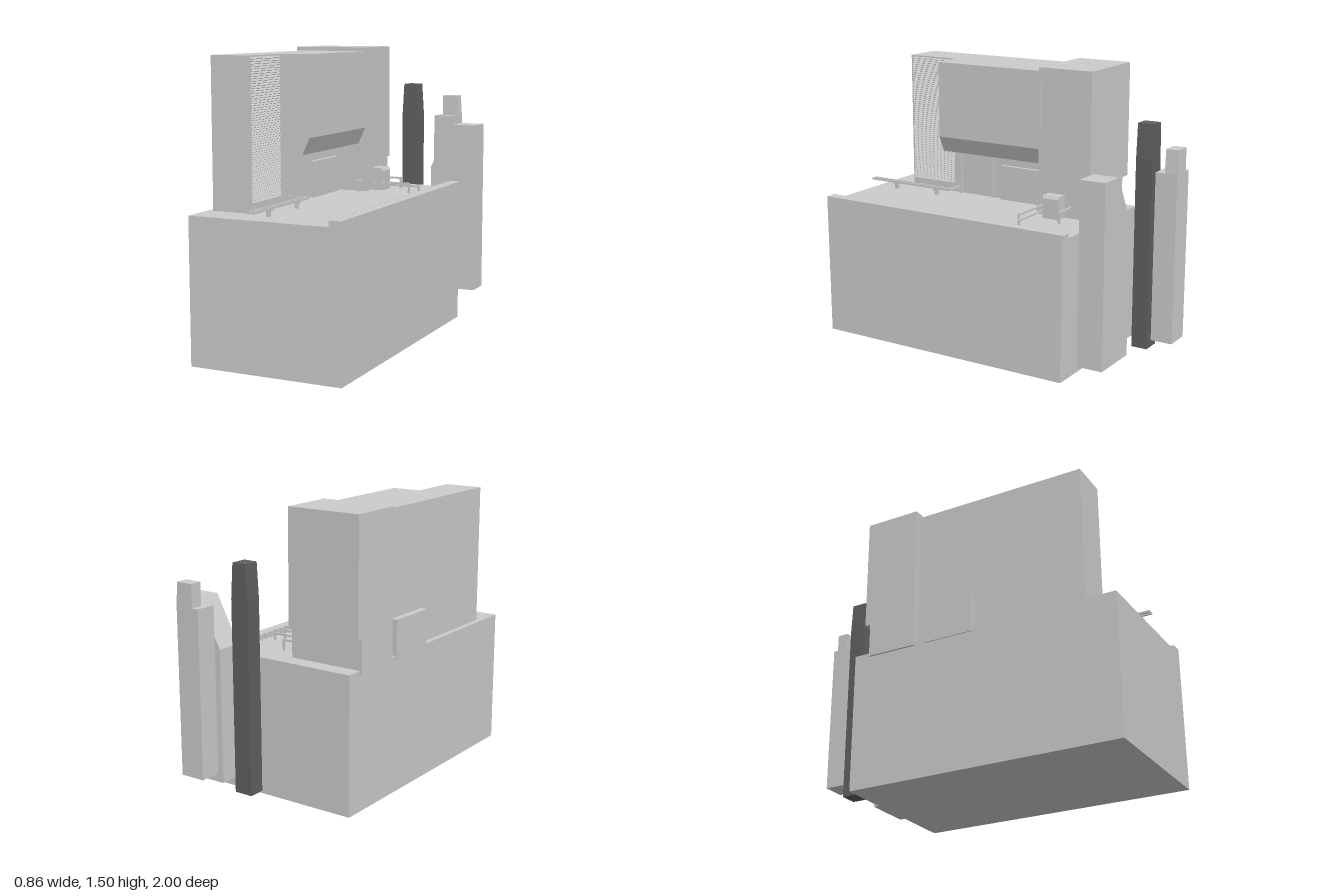
import * as THREE from 'three';

const grey = new THREE.MeshStandardMaterial({ color: 0xcccccc, flatShading: true, side: THREE.DoubleSide });
const dark = new THREE.MeshStandardMaterial({ color: 0x606060, flatShading: true, side: THREE.DoubleSide });

export function createModel() {
  const model = new THREE.Group();

  const add = (name, geometry, material = grey) => {
    const mesh = new THREE.Mesh(geometry, material);
    mesh.name = name;
    model.add(mesh);
    return mesh;
  };
  // Box given by its limits on each axis
  const box = (name, x0, x1, y0, y1, z0, z1, material) =>
    add(name, new THREE.BoxGeometry(x1 - x0, y1 - y0, z1 - z0)
      .translate((x0 + x1) / 2, (y0 + y1) / 2, (z0 + z1) / 2), material);
  // Front (x, y) outline extruded from z0 to z1
  const prism = (name, points, z0, z1, material) => {
    const shape = new THREE.Shape(points.map(([x, y]) => new THREE.Vector2(x, y)));
    return add(name, new THREE.ExtrudeGeometry(shape, { depth: z1 - z0, bevelEnabled: false })
      .translate(0, 0, z0), material);
  };

  // Plinth
  box('plinth', -0.42, 0.38, 0, 0.73, -0.49, 0.97);

  // Kerb with a toothed inner edge
  const kerb = new THREE.Shape();
  const teeth = 32, z0 = -0.5, pitch = 1.47 / teeth;
  kerb.moveTo(0.38, z0);
  kerb.lineTo(0.38, 0.97);
  for (let i = teeth - 1; i >= 0; i--) {
    const z = z0 + i * pitch;
    kerb.lineTo(0.318, z + pitch);
    kerb.lineTo(0.318, z + pitch / 2);
    kerb.lineTo(0.328, z + pitch / 2);
    kerb.lineTo(0.328, z);
  }
  add('kerb', new THREE.ExtrudeGeometry(kerb, { depth: 0.03, bevelEnabled: false })
    .rotateX(Math.PI / 2).translate(0, 0.76, 0));

  // Main building with an overhanging upper hall
  box('mainBlock', -0.39, -0.18, 0.73, 1.475, -0.13, 0.8);
  prism('overhangingHall', [[-0.18, 0.985], [-0.06, 0.985], [-0.022, 1.07], [-0.022, 1.475], [-0.18, 1.475]], -0.13, 0.505);

  // Corrugated louvre wall beside the entrance
  const louvre = [[-0.182, 0.78]], slats = 60, rise = 0.69 / slats;
  for (let i = 0; i < slats; i++) {
    louvre.push([-0.174, 0.78 + i * rise], [-0.18, 0.78 + (i + 0.8) * rise]);
  }
  louvre.push([-0.182, 1.47]);
  prism('louvreWall', louvre, 0.515, 0.79);

  // Low annex crossing the building
  box('annex', -0.425, -0.158, 0.71, 0.918, -0.08, 0.2);

  // Rear tower, its foot set back
  prism('rearTower', [[-0.43, 0.89], [-0.012, 0.89], [-0.016, 1.495], [-0.43, 1.495]], -0.43, -0.13);
  box('rearTowerFoot', -0.43, -0.01, 0.71, 0.89, -0.4, -0.13);
  box('towerEdgeStrip', -0.016, -0.007, 0.73, 1.495, -0.14, -0.128);

  // Posts under the overhang
  for (const z of [0.47, 0.26, -0.105]) box('post', -0.178, -0.164, 0.73, 0.985, z - 0.007, z + 0.007);
  box('pipePost', -0.13, -0.118, 0.73, 0.9, -0.115, -0.103);
  box('smallCabinet', -0.07, -0.035, 0.73, 0.79, -0.128, -0.1);

  // Track leading out over the front edge
  for (const x of [-0.077, -0.052]) box('trackRail', x - 0.004, x + 0.004, 0.764, 0.775, 0.47, 1);
  box('trackCrossbar', -0.175, -0.048, 0.764, 0.775, 0.465, 0.475);
  for (const z of [0.56, 0.835]) {
    box('trackBracket', -0.083, -0.046, 0.756, 0.768, z - 0.012, z + 0.012);
    box('trackLeg', -0.072, -0.057, 0.73, 0.757, z - 0.01, z + 0.01);
  }

  // Cabinet with a bevelled top beside the tower
  prism('cabinet', [[-0.012, 0.73], [0.055, 0.73], [0.055, 0.835], [0.047, 0.85], [-0.012, 0.85]], -0.285, -0.19);

  // Pipes that run out of the tower and turn down to the deck
  for (const [end, y, z] of [[0.23, 0.78, -0.153], [0.275, 0.765, -0.182], [0.11, 0.785, -0.318]]) {
    box('pipe', -0.02, end, y - 0.005, y + 0.005, z - 0.005, z + 0.005);
    box('pipeLeg', end - 0.01, end, 0.73, y, z - 0.005, z + 0.005);
  }

  // Detached spires behind the plinth
  prism('darkSpire', [[-0.055, 0.13], [0.043, 0.13], [0.043, 1.1], [0.031, 1.275], [-0.045, 1.275], [-0.055, 1.1]], -0.795, -0.71, dark);
  prism('slopedSpire', [[0.165, 0.13], [0.427, 0.13], [0.427, 1.06], [0.29, 1.06], [0.165, 0.82]], -0.745, -0.61);
  box('steppedSpire', 0.07, 0.2, 0.25, 1.085, -1, -0.89);
  prism('steppedSpireTop', [[0.105, 1.085], [0.2, 1.085], [0.192, 1.2], [0.105, 1.2]], -1, -0.937);

  return model;
}
